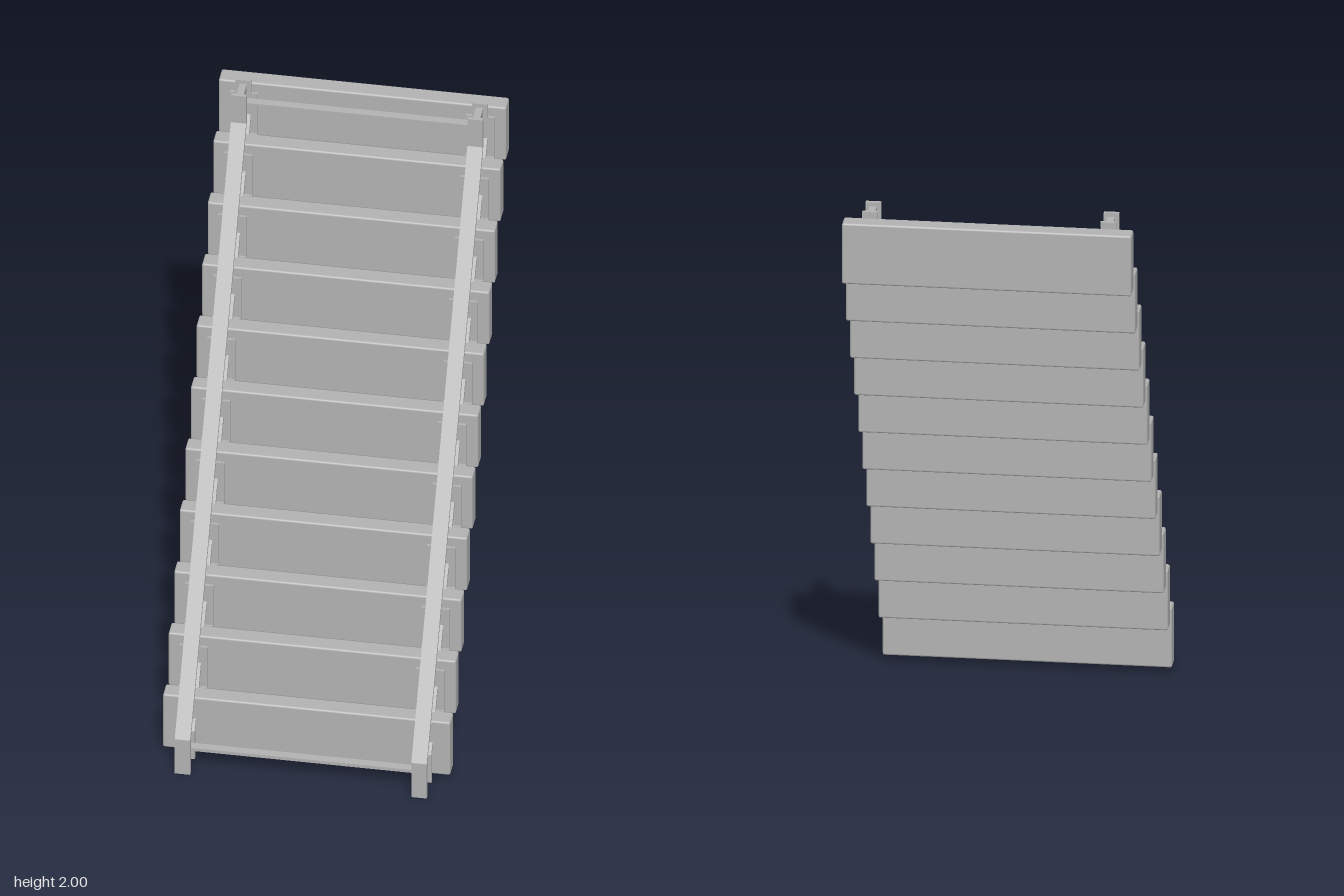
import * as THREE from 'three';
import { RoundedBoxGeometry } from 'three/addons/geometries/RoundedBoxGeometry.js';

const STEPS = 11, RISE = 0.1745, RUN = 0.11;
const BEAM_X = 0.4, BEAM_DEPTH = 0.105, FLANGE = 0.014;

export function createModel() {
  const group = new THREE.Group();
  const grey = new THREE.MeshStandardMaterial({ color: 0xb2b2b2 });
  grey.name = 'plain grey';

  const add = (parent, name, geometry, x = 0, y = 0, z = 0) => {
    const mesh = new THREE.Mesh(geometry, grey);
    mesh.name = name;
    mesh.position.set(x, y, z);
    parent.add(mesh);
    return mesh;
  };

  // Cranked band between two offsets behind the front line, extruded across x
  const band = (o1, o2, bottom, top, width) => {
    const line = (o) => [
      [0.64 - o, bottom], [0.64 - o, 0.14 - 0.29 * o],
      [-0.465 - o, 1.89 - 0.29 * o], [-0.465 - o, top],
    ];
    const points = [...line(o1), ...line(o2).reverse()].map(([z, y]) => new THREE.Vector2(z, y));
    return new THREE.ExtrudeGeometry(new THREE.Shape(points), { depth: width, bevelEnabled: false })
      .translate(0, 0, -width / 2)
      .rotateY(-Math.PI / 2);
  };

  // I-section stringers
  const flangeFront = band(0, FLANGE, 0, 2, 0.052);
  const flangeBack = band(BEAM_DEPTH - FLANGE, BEAM_DEPTH, 0, 2, 0.052);
  const web = band(FLANGE, BEAM_DEPTH - FLANGE, 0.01, 1.986, 0.024);
  for (const side of [-1, 1]) {
    const stringer = new THREE.Group();
    stringer.name = side > 0 ? 'leftStringer' : 'rightStringer';
    stringer.position.x = side * BEAM_X;
    add(stringer, 'frontFlange', flangeFront);
    add(stringer, 'backFlange', flangeBack);
    add(stringer, 'web', web);
    group.add(stringer);
  }

  // Treads with softened edges
  const treadGeometry = new RoundedBoxGeometry(0.972, 0.216, 0.064, 2, 0.007);
  // Angle brackets: a shelf leg and a leg against the tread
  const shelf = new THREE.BoxGeometry(0.036, 0.012, 0.07);
  const leg = new THREE.BoxGeometry(0.036, 0.17, 0.01);
  for (let i = 0; i < STEPS; i++) {
    const y = 0.128 + i * RISE, z = 0.494 - i * RUN;
    add(group, 'tread', treadGeometry, 0, y, z);
    if (i === 0) continue;
    for (const side of [-1, 1]) {
      for (const offset of [-0.03, 0.03]) {
        const bracket = new THREE.Group();
        bracket.name = 'bracket';
        bracket.position.set(side * BEAM_X + offset, y, z + 0.032);
        add(bracket, 'shelfLeg', shelf, 0, -0.095, 0.035);
        add(bracket, 'treadLeg', leg, 0, -0.015, 0.005);
        group.add(bracket);
      }
    }
  }

  // Flat tie bars between the stringers
  const tie = new THREE.BoxGeometry(0.78, 0.012, 0.03);
  add(group, 'bottomTie', tie, 0, 0.076, 0.585);
  add(group, 'topTie', tie, 0, 1.94, -0.52);

  return group;
}
